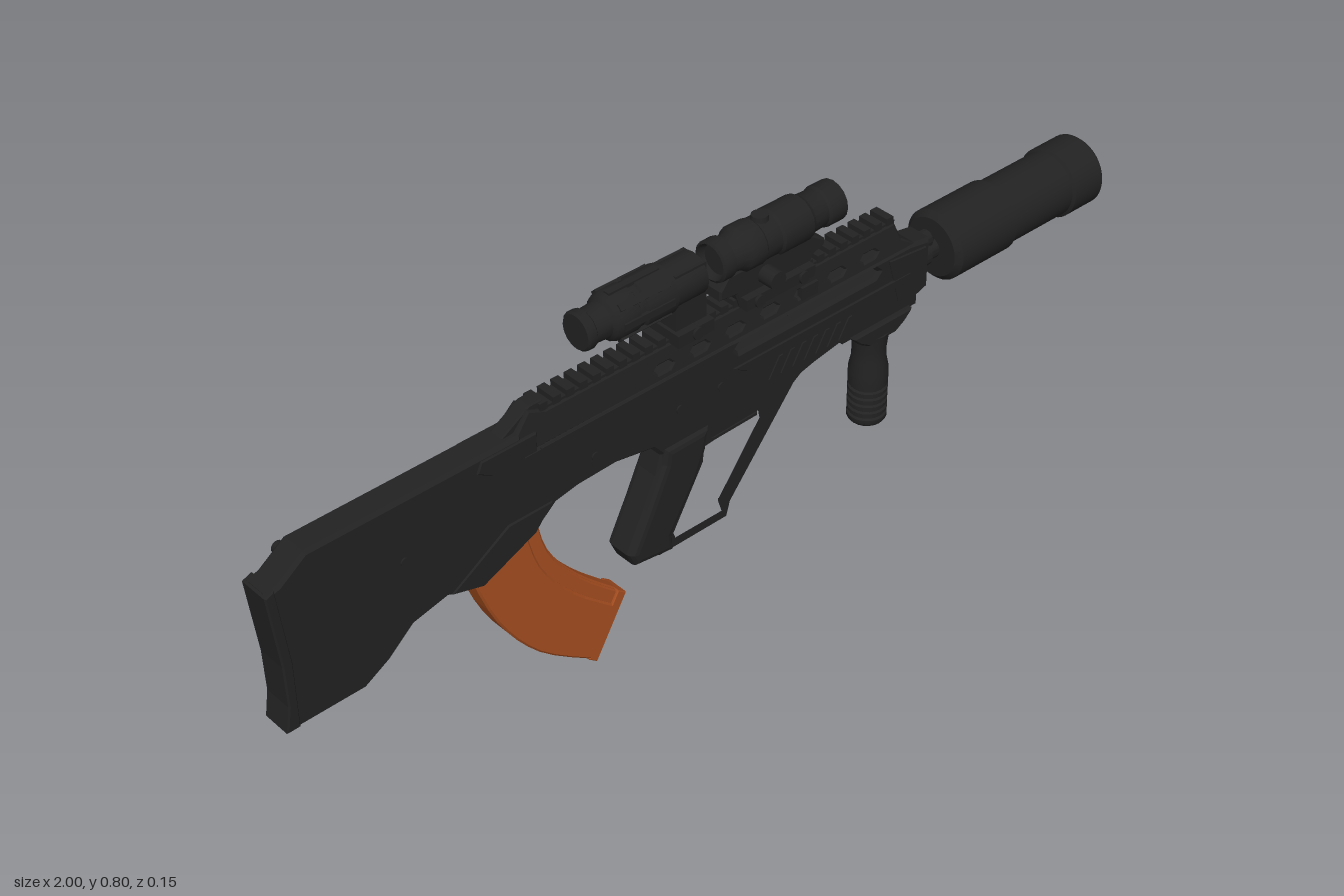
import * as THREE from 'three';
import { toCreasedNormals } from 'three/addons/utils/BufferGeometryUtils.js';

export function createModel() {
  const model = new THREE.Group();
  const mat = (name, color) => {
    const m = new THREE.MeshStandardMaterial({ color });
    m.name = name;
    return m;
  };
  const black = mat('matte black', 0x222222);
  const orange = mat('rust orange', 0xa64e20);

  const add = (name, geo, material = black) => {
    const mesh = new THREE.Mesh(geo, material);
    mesh.name = name;
    model.add(mesh);
    return mesh;
  };
  const vecs = (pts) => pts.map(([x, y]) => new THREE.Vector2(x, y));
  // Side profile extruded from z0 to z1 with chamfered edges
  const slab = (pts, z0, z1, bevel = 0.006, holes = []) => {
    const shape = new THREE.Shape(vecs(pts));
    holes.forEach((h) => shape.holes.push(new THREE.Path(vecs(h))));
    const geo = new THREE.ExtrudeGeometry(shape, {
      depth: z1 - z0 - 2 * bevel, bevelEnabled: bevel > 0, bevelSize: bevel,
      bevelThickness: bevel, bevelOffset: -bevel, bevelSegments: bevel > 0.01 ? 3 : 1,
    });
    return geo.translate(0, 0, z0 + bevel);
  };
  const box = (name, x0, x1, y0, y1, z0, z1, material) => {
    const geo = new THREE.BoxGeometry(x1 - x0, y1 - y0, z1 - z0);
    return add(name, geo.translate((x0 + x1) / 2, (y0 + y1) / 2, (z0 + z1) / 2), material);
  };
  // Turned profile; [position, radius] pairs closed at both ends
  const lathe = (pts, sides) => {
    const full = [[pts[0][0], 0], ...pts, [pts.at(-1)[0], 0]];
    return toCreasedNormals(new THREE.LatheGeometry(vecs(full.map(([a, r]) => [r, a])), sides), 0.6);
  };
  const turnedX = (name, pts, y, sides = 32) =>
    add(name, lathe(pts, sides).rotateZ(-Math.PI / 2).translate(0, y, 0));
  const knobZ = (name, x, y, r, z0, z1, sides = 16) =>
    add(name, new THREE.CylinderGeometry(r, r, z1 - z0, sides).rotateX(Math.PI / 2).translate(x, y, (z0 + z1) / 2));
  const slot = (x0, x1, y0, y1) => {
    const c = (y1 - y0) / 2;
    return [[x0, y0 + c], [x0 + c, y0], [x1 - c, y0], [x1, y0 + c], [x1 - c, y1], [x0 + c, y1]];
  };

  // Stock and lower body in one profile
  add('stockAndBody', slab([
    [-0.99, 0.583], [-0.965, 0.59], [-0.91, 0.63], [-0.46, 0.63], [-0.45, 0.585], [0.49, 0.585],
    [0.545, 0.575], [0.545, 0.465], [0.5, 0.45], [0.33, 0.445], [0.24, 0.43], [0.18, 0.415],
    [-0.14, 0.41], [-0.165, 0.44], [-0.25, 0.455], [-0.34, 0.452], [-0.39, 0.443], [-0.433, 0.406],
    [-0.56, 0.347], [-0.635, 0.37], [-0.71, 0.353], [-0.765, 0.305], [-0.82, 0.273],
    [-0.982, 0.273], [-0.974, 0.33], [-0.974, 0.42],
  ], -0.032, 0.03, 0.007, [slot(0.037, 0.405, 0.552, 0.571)]));
  add('buttPad', slab([[-0.995, 0.58], [-0.975, 0.588], [-0.957, 0.42], [-0.957, 0.275],
    [-0.985, 0.275], [-0.976, 0.33], [-0.978, 0.42]], -0.034, 0.032, 0.003));

  // Upper receiver with vents, sides leaning inwards towards the rail
  const vents = [];
  for (let i = 0; i < 7; i++) vents.push(slot(-0.157 + i * 0.0856, -0.113 + i * 0.0856, 0.6, 0.617));
  const upper = slab([[-0.47, 0.585], [-0.47, 0.628], [-0.437, 0.665], [-0.4, 0.65], [0.448, 0.65],
    [0.465, 0.61], [0.5, 0.585]], -0.031, 0.031, 0.004, vents);
  const up = upper.attributes.position;
  for (let i = 0; i < up.count; i++) up.setZ(i, up.getZ(i) * (1 - (up.getY(i) - 0.585) * 4));
  upper.computeVertexNormals();
  add('upperReceiver', upper);

  // Top rail with teeth
  box('railBase', -0.42, 0.45, 0.643, 0.655, -0.02, 0.02);
  for (let i = 0; i < 29; i++) box('railTooth', -0.412 + i * 0.03, -0.395 + i * 0.03, 0.65, 0.666, -0.022, 0.022);
  add('rearSightRamp', slab([[-0.5, 0.625], [-0.43, 0.67], [-0.4, 0.67], [-0.4, 0.64]], -0.016, 0.016, 0.003));

  // Ejection port frame, magazine well panels and side trim, mirrored
  for (const s of [1, -1]) {
    const side = (name, pts, t, bevel = 0.002) => add(name, slab(pts, s > 0 ? 0.026 : -0.028 - t, s > 0 ? 0.026 + t : -0.028, bevel));
    side('portCover', [[-0.55, 0.622], [-0.56, 0.6], [-0.53, 0.582], [-0.43, 0.582], [-0.43, 0.622]], 0.008);
    side('wellPanel', [[-0.63, 0.373], [-0.56, 0.352], [-0.44, 0.405], [-0.4, 0.455], [-0.5, 0.455]], s > 0 ? 0.007 : 0.014, 0.003);
    side('lowerTrim', [[0.03, 0.525], [0.49, 0.525], [0.49, 0.505], [0.06, 0.505]], 0.008);
    side('seamStrip', [[-0.42, 0.576], [0.03, 0.576], [0.03, 0.582], [-0.42, 0.582]], 0.006, 0.001);
    side('nosePlate', [[0.43, 0.575], [0.53, 0.565], [0.53, 0.475], [0.46, 0.47]], 0.007);
    // Slanted grip ribs on the handguard
    for (let i = 0; i < 7; i++) {
      const x = 0.12 + i * 0.03;
      side('handguardRib', [[x, 0.455], [x + 0.01, 0.455], [x + 0.035, 0.497], [x + 0.025, 0.497]], 0.006, 0.001);
    }
    for (const x of [-0.72, -0.3, -0.1, 0.0]) {
      knobZ('bodyPin', x, 0.5, 0.009, s > 0 ? 0.026 : -0.035, s > 0 ? 0.033 : -0.028, 10);
    }
  }
  add('slingSlot', slab(slot(-0.925, -0.89, 0.43, 0.53), -0.037, -0.03, 0.002, [slot(-0.917, -0.898, 0.445, 0.515)]));
  knobZ('slingStud', -0.915, 0.6, 0.012, -0.044, -0.028, 10);
  box('chargingHandle', 0.2, 0.24, 0.595, 0.622, 0.02, 0.033);

  // Pistol grip, trigger guard and trigger
  add('pistolGrip', slab([[-0.14, 0.43], [-0.145, 0.395], [-0.185, 0.31], [-0.228, 0.225], [-0.215, 0.195],
    [-0.12, 0.183], [-0.122, 0.225], [-0.06, 0.325], [-0.038, 0.38], [-0.03, 0.43]], -0.036, 0.038, 0.016));
  add('triggerGuard', slab([[-0.14, 0.43], [0.22, 0.435], [0.19, 0.41], [0.03, 0.215], [0.02, 0.18], [-0.15, 0.18],
    [-0.2, 0.21]], -0.029, 0.029, 0.006,
  [[[-0.045, 0.398], [0.1, 0.402], [0.105, 0.375], [0.0, 0.235], [0.01, 0.2], [-0.118, 0.2], [-0.125, 0.22], [-0.05, 0.35]]]));
  add('trigger', slab([[-0.05, 0.372], [-0.03, 0.384], [0.0, 0.374], [0.11, 0.376], [0.11, 0.366], [0.0, 0.364],
    [-0.04, 0.36]], -0.012, 0.012, 0.002));

  // Curved magazine: ribbed body with front and rear spines and a floor plate
  const front = new THREE.SplineCurve(vecs([[-0.425, 0.44], [-0.4, 0.33], [-0.33, 0.23], [-0.23, 0.134]])).getPoints(12);
  const back = new THREE.SplineCurve(vecs([[-0.585, 0.39], [-0.525, 0.235], [-0.435, 0.11], [-0.305, 0.011]])).getPoints(12);
  const band = (a, b) => {
    const at = (t) => front.map((p, i) => p.clone().lerp(back[i], t).toArray());
    return [...at(a), ...at(b).reverse()];
  };
  add('magazineBody', slab(band(0.02, 0.98), -0.025, 0.015, 0.003), orange);
  add('magazineFrontSpine', slab(band(0, 0.22), -0.02, 0.01, 0.003), orange);
  add('magazineSidePanel', slab(band(0.2, 1), -0.03, 0.02, 0.004), orange);
  add('magazineFloor', slab([[-0.228, 0.134], [-0.303, 0.006], [-0.322, 0.021], [-0.247, 0.149]], -0.03, 0.02, 0.002), orange);

  // Barrel and suppressor
  turnedX('barrel', [[0.5, 0.028], [0.555, 0.028], [0.556, 0.022], [0.6, 0.022]], 0.525, 20);
  turnedX('gasPlug', [[0.5, 0.018], [0.565, 0.018], [0.57, 0.014]], 0.553, 12);
  turnedX('suppressor', [[0.58, 0.062], [0.592, 0.074], [0.742, 0.074], [0.746, 0.068], [0.912, 0.068],
    [0.916, 0.074], [0.994, 0.074], [1.0, 0.069], [1.0, 0.021], [0.97, 0.019]], 0.525, 40);

  // Vertical foregrip and its clamp
  box('lowerRail', 0.32, 0.52, 0.432, 0.455, -0.022, 0.022);
  add('foregripClamp', slab([[0.34, 0.437], [0.5, 0.437], [0.48, 0.415], [0.455, 0.4], [0.385, 0.4], [0.36, 0.415]], -0.034, 0.034, 0.004));
  const grip = [[0.2, 0.036], [0.206, 0.04]];
  for (let i = 0; i < 5; i++) {
    const y = 0.215 + i * 0.016;
    grip.push([y, 0.04], [y + 0.003, 0.036], [y + 0.006, 0.036], [y + 0.009, 0.04]);
  }
  grip.push([0.32, 0.04], [0.345, 0.035], [0.375, 0.034], [0.41, 0.038]);
  add('foregrip', lathe(grip, 20).translate(0.418, 0, 0));

  // Rear magnifier on a flip mount
  turnedX('magnifier', [[-0.31, 0.034], [-0.306, 0.038], [-0.292, 0.038], [-0.288, 0.033], [-0.255, 0.035],
    [-0.25, 0.042], [-0.24, 0.047], [-0.2, 0.047], [-0.197, 0.043], [-0.185, 0.043], [-0.182, 0.048],
    [-0.115, 0.048], [-0.112, 0.042], [-0.04, 0.042], [-0.035, 0.034], [-0.05, 0.03]], 0.756, 16);
  for (let i = 0; i < 8; i++) {
    const a = (i * Math.PI) / 4;
    const rib = box('magnifierRib', -0.24, -0.125, -0.007, 0.007, 0.043, 0.05);
    rib.rotation.x = a;
    rib.position.y = 0.756;
  }
  box('magnifierMount', -0.108, -0.035, 0.66, 0.79, -0.03, 0.03);
  box('magnifierClamp', -0.115, -0.03, 0.648, 0.674, -0.045, 0.045);
  knobZ('magnifierClampBolt', -0.07, 0.662, 0.013, -0.05, 0.05, 8);

  // Front sight tube on its riser
  turnedX('sightTube', [[0.015, 0.03], [0.0, 0.036], [0.003, 0.041], [0.028, 0.041], [0.031, 0.035], [0.05, 0.037],
    [0.062, 0.045], [0.1, 0.045], [0.104, 0.042], [0.14, 0.042], [0.145, 0.046], [0.215, 0.046], [0.225, 0.039],
    [0.26, 0.037], [0.265, 0.041], [0.303, 0.041], [0.305, 0.035], [0.29, 0.032]], 0.756, 16);
  add('sightRiser', slab([[0.0, 0.705], [0.0, 0.685], [0.04, 0.68], [0.05, 0.65], [0.22, 0.65], [0.23, 0.68],
    [0.26, 0.69], [0.26, 0.703], [0.22, 0.73], [0.02, 0.73]], -0.028, 0.028, 0.004));
  box('sightClamp', 0.05, 0.22, 0.648, 0.672, -0.044, 0.044);
  for (const x of [0.08, 0.19]) knobZ('sightClampBolt', x, 0.66, 0.013, -0.05, 0.05, 8);
  knobZ('sightDial', 0.11, 0.696, 0.019, 0.025, 0.062, 12);
  turnedX('sideLamp', [[0.0, 0.01], [0.005, 0.014], [0.25, 0.014], [0.262, 0.01]], 0.696, 12).position.z = -0.022;
  add('sightTurret', new THREE.CylinderGeometry(0.016, 0.018, 0.014, 12).translate(0.12, 0.798, 0));

  return model;
}
